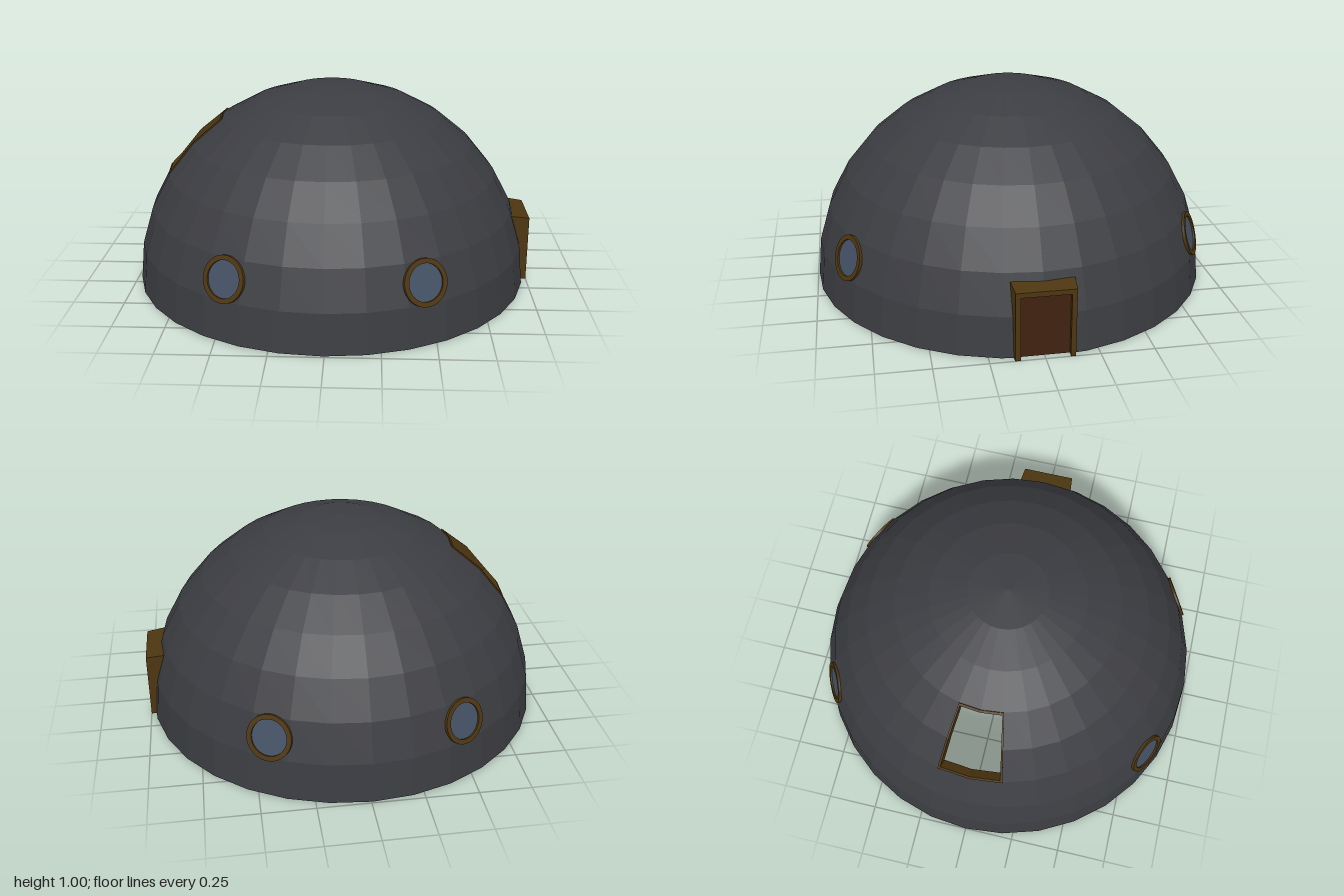
import * as THREE from 'three';

const SEG = 32, STEP = (Math.PI * 2) / SEG, ROWS = 8;
const R = 0.994, R_IN = 0.972;
const CENTRE_X = -0.006;

function makeMaterial(name, color) {
  const m = new THREE.MeshStandardMaterial({ color, flatShading: true });
  m.name = name;
  return m;
}

function makeMesh(name, geometry, material) {
  const m = new THREE.Mesh(geometry, material);
  m.name = name;
  return m;
}

// point on the faceted dome; fractional i (around) and j (up) lie on the flat facet
function domePoint(i, j, r, ci, cj) {
  const corner = (a, b) => new THREE.Vector3(
    Math.cos(b * STEP) * Math.cos(a * STEP), Math.sin(b * STEP), Math.cos(b * STEP) * Math.sin(a * STEP));
  const low = corner(ci, cj).lerp(corner(ci + 1, cj), i - ci);
  const high = corner(ci, cj + 1).lerp(corner(ci + 1, cj + 1), i - ci);
  return low.lerp(high, j - cj).multiplyScalar(r);
}

// closed block following one facet of the dome between two radii
function addBlock(out, ci, cj, i0, i1, j0, j1, rOut = R, rIn = R_IN) {
  const ring = r => [[i0, j0], [i1, j0], [i1, j1], [i0, j1]].map(([i, j]) => domePoint(i, j, r, ci, cj));
  const o = ring(rOut), n = ring(rIn);
  const quad = (a, b, c, d) => [a, b, c, a, c, d].forEach(p => out.push(p.x, p.y, p.z));
  quad(o[0], o[3], o[2], o[1]);
  quad(n[0], n[1], n[2], n[3]);
  for (let k = 0; k < 4; k++) {
    const l = (k + 1) % 4;
    quad(o[k], o[l], n[l], n[k]);
  }
}

function toGeometry(positions) {
  const g = new THREE.BufferGeometry();
  g.setAttribute('position', new THREE.Float32BufferAttribute(positions, 3));
  g.computeVertexNormals();
  return g;
}

// dome shell with a skylight opening on -x and a doorway on +x
function domeGeometry() {
  const out = [];
  const doorU = 0.68, doorV = 0.73;
  for (let j = 0; j < ROWS; j++) {
    for (let i = -1; i < SEG - 1; i++) {
      const skylight = (i === 15 || i === 16) && (j === 3 || j === 4);
      const doorway = (i === -1 || i === 0) && j < 2;
      if (skylight) continue;
      if (!doorway) {
        addBlock(out, i, j, i, i + 1, j, j + 1);
        continue;
      }
      if (i === 0) addBlock(out, i, j, doorU, 1, j, j + 1);
      else addBlock(out, i, j, -1, -doorU, j, j + 1);
      if (j === 1) addBlock(out, i, j, i === 0 ? 0 : -doorU, i === 0 ? doorU : 0, 1 + doorV, 2);
    }
  }
  return toGeometry(out);
}

// thin frame lining the skylight opening
function skylightFrameGeometry() {
  const out = [], w = 0.07, ro = 1.0, ri = 0.945;
  for (const j of [3, 4]) {
    addBlock(out, 15, j, 15, 15 + w, j, j + 1, ro, ri);
    addBlock(out, 16, j, 17 - w, 17, j, j + 1, ro, ri);
  }
  for (const i of [15, 16]) {
    addBlock(out, i, 3, i, i + 1, 3, 3 + w, ro, ri);
    addBlock(out, i, 4, i, i + 1, 5 - w, 5, ro, ri);
  }
  return toGeometry(out);
}

// round window with a ring frame, facing out along the given direction
function makeWindow(sx, sz, frameMat, glassMat) {
  const g = new THREE.Group();
  g.name = 'roundWindow';
  const shape = new THREE.Shape().absarc(0, 0, 0.109, 0, Math.PI * 2);
  shape.holes.push(new THREE.Path().absarc(0, 0, 0.086, 0, Math.PI * 2, true));
  const ring = makeMesh('windowFrame',
    new THREE.ExtrudeGeometry(shape, { depth: 0.052, bevelEnabled: false, curveSegments: 28 }), frameMat);
  ring.position.z = 0.945;
  const glass = makeMesh('windowGlass',
    new THREE.CylinderGeometry(0.088, 0.088, 0.037, 28).rotateX(Math.PI / 2), glassMat);
  glass.position.z = 0.9695;
  g.add(ring, glass);
  const az = 5.5 * STEP, el = 1.5 * STEP;
  g.lookAt(sx * Math.cos(el) * Math.cos(az), Math.sin(el), sz * Math.cos(el) * Math.sin(az));
  return g;
}

// door surround narrowing slightly outwards, with a recessed door
function makeDoor(frameMat, doorMat) {
  const g = new THREE.Group();
  g.name = 'doorway';
  const w = 0.145, h = 0.345, iw = 0.12, ih = 0.32, depth = 0.09;
  const shape = new THREE.Shape([[-w, 0], [-iw, 0], [-iw, ih], [iw, ih], [iw, 0], [w, 0], [w, h], [-w, h]]
    .map(([x, y]) => new THREE.Vector2(x, y)));
  const geo = new THREE.ExtrudeGeometry(shape, { depth, bevelEnabled: false });
  const p = geo.attributes.position;
  for (let k = 0; k < p.count; k++) {
    const t = p.getZ(k) / depth;
    p.setXY(k, p.getX(k) * (1 - 0.06 * t), p.getY(k) * (1 - 0.035 * t));
  }
  geo.rotateY(Math.PI / 2);
  geo.computeVertexNormals();
  const frame = makeMesh('doorFrame', geo, frameMat);
  frame.position.x = 1 - depth;
  const door = makeMesh('doorPanel', new THREE.BoxGeometry(0.016, 0.318, 0.236), doorMat);
  door.position.set(0.96, 0.159, 0);
  g.add(frame, door);
  return g;
}

export function createModel() {
  const shellMat = makeMaterial('charcoal shell', 0x3c3d42);
  const frameMat = makeMaterial('brown frame', 0x4d3610);
  const doorMat = makeMaterial('dark wood', 0x40220f);
  const glassMat = makeMaterial('blue glass', 0x445266);

  const model = new THREE.Group();
  model.name = 'domeHouse';

  const dome = new THREE.Group();
  dome.name = 'dome';
  dome.add(makeMesh('domeShell', domeGeometry(), shellMat));
  dome.add(makeMesh('skylightFrame', skylightFrameGeometry(), frameMat));
  for (const sx of [-1, 1]) for (const sz of [-1, 1]) dome.add(makeWindow(sx, sz, frameMat, glassMat));
  dome.position.set(CENTRE_X, 0.002, 0);

  model.add(dome, makeDoor(frameMat, doorMat));
  return model;
}
